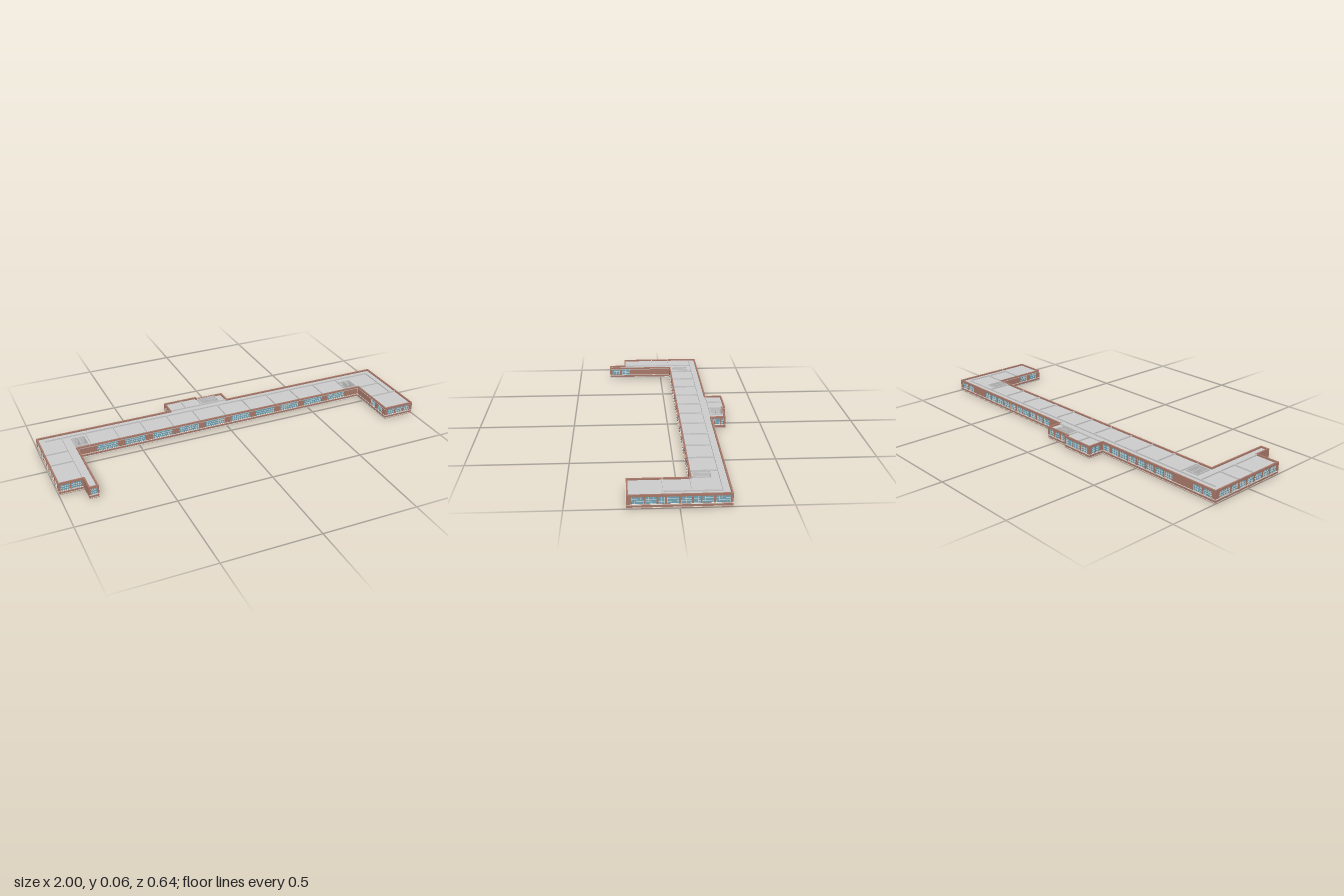
import * as THREE from 'three';
import { mergeGeometries } from 'three/addons/utils/BufferGeometryUtils.js';

const H = 0.065, T = 0.008, ROOF = 0.057, SILL = 0.021, HEAD = 0.054;
const mat = (color) => new THREE.MeshStandardMaterial({ color });
const brick = mat(0xa9796a), grey = mat(0xcccccc), white = mat(0xe4e2dc), glass = mat(0x6fa3b5);

// Plan outline as [x, z]; the inside lies on the right of each edge
const outline = [
  [-1, -0.23], [-0.265, -0.23], [-0.265, -0.32], [-0.075, -0.32], [-0.075, -0.305], [0.075, -0.305],
  [0.075, -0.23], [1, -0.23], [1, 0.23], [0.825, 0.23], [0.825, -0.055], [-0.825, -0.055],
  [-0.825, 0.315], [-0.875, 0.315], [-0.875, 0.225], [-1, 0.225],
];

// Stair wells as [x0, z0, x1, z1]
const wells = [[-0.83, -0.16, -0.765, -0.08], [0.75, -0.15, 0.82, -0.07], [-0.075, -0.296, 0.025, -0.23]];

const run = (start, width, pitch, count) =>
  Array.from({ length: count }, (_, i) => [start + i * pitch, start + i * pitch + width]);

// Window spans along each outline edge, measured from its first corner
const windows = {
  0: [...run(0.02, 0.05, 0.06, 2), ...run(0.26, 0.05, 0.06, 8)],
  1: run(0.02, 0.024, 0.03, 2),
  2: run(0.012, 0.05, 0.058, 3),
  4: run(0.012, 0.035, 0.045, 3),
  5: [[0.012, 0.025], [0.03, 0.055], [0.06, 0.07]],
  6: [...run(0.08, 0.05, 0.06, 10), ...run(0.79, 0.05, 0.06, 2)],
  7: [[0.012, 0.075], [0.085, 0.135], [0.14, 0.17], [0.178, 0.225], [0.235, 0.285], [0.295, 0.322], [0.33, 0.377], [0.387, 0.436]],
  8: [[0.02, 0.055], [0.062, 0.108], [0.115, 0.157]],
  9: run(0.03, 0.045, 0.07, 2),
  10: run(0.09, 0.11, 0.15, 10),
  11: run(0.25, 0.045, 0.06, 2),
  12: [[0.01, 0.04]],
  14: [[0.012, 0.06], [0.067, 0.113]],
  15: [[0.02, 0.065], [0.075, 0.12], [0.13, 0.18], [0.19, 0.235], [0.245, 0.29], [0.3, 0.345], [0.355, 0.43]],
};

const rectPath = (x0, y0, x1, y1) => new THREE.Path([
  new THREE.Vector2(x0, y0), new THREE.Vector2(x0, y1), new THREE.Vector2(x1, y1), new THREE.Vector2(x1, y0)]);

const boxGeo = (x0, x1, y0, y1, z0, z1) =>
  new THREE.BoxGeometry(x1 - x0, y1 - y0, z1 - z0).translate((x0 + x1) / 2, (y0 + y1) / 2, (z0 + z1) / 2);

function add(parent, name, geometry, material) {
  const mesh = new THREE.Mesh(geometry, material);
  mesh.name = name;
  parent.add(mesh);
  return mesh;
}

// One outside wall with window openings, glass, glazing bars and sill
function facade(index) {
  const n = outline.length;
  const a = outline[index], b = outline[(index + 1) % n], c = outline[(index + 2) % n];
  const dx = b[0] - a[0], dz = b[1] - a[1], length = Math.hypot(dx, dz);
  const reflex = dx * (c[1] - b[1]) - dz * (c[0] - b[0]) < 0;
  const end = length + (reflex ? T : 0);
  const spans = windows[index] || [];
  const group = new THREE.Group();
  group.name = 'facade';
  group.position.set(a[0], 0, a[1]);
  group.rotation.y = Math.atan2(-dz, dx);

  const shape = new THREE.Shape([[0, 0], [end, 0], [end, H], [0, H]].map((p) => new THREE.Vector2(...p)));
  spans.forEach(([u, v]) => shape.holes.push(rectPath(u, SILL, v, HEAD)));
  add(group, 'brickWall', new THREE.ExtrudeGeometry(shape, { depth: T, bevelEnabled: false }), brick);
  add(group, 'baseCourse', boxGeo(0, length, 0.003, 0.006, -0.0008, 0.001), white);
  if (!spans.length) return group;

  const panes = [], bars = [];
  spans.forEach(([u, v]) => {
    panes.push(boxGeo(u, v, SILL, HEAD, 0.003, 0.004));
    const columns = Math.max(2, Math.round((v - u) / 0.012));
    for (let i = 0; i <= columns; i++) {
      const x = u + ((v - u) * i) / columns;
      bars.push(boxGeo(x - 0.0005, x + 0.0005, SILL, HEAD, 0.0015, 0.005));
    }
    for (let j = 0; j <= 3; j++) {
      const y = SILL + ((HEAD - SILL) * j) / 3;
      bars.push(boxGeo(u, v, y - 0.0005, y + 0.0005, 0.0015, 0.005));
    }
  });
  add(group, 'windowGlass', mergeGeometries(panes), glass);
  add(group, 'windowBars', mergeGeometries(bars), white);
  add(group, 'windowSill', boxGeo(0, length, 0.0175, 0.0205, -0.0015, 0.001), white);
  return group;
}

// Horizontal slab following the plan, pierced by the stair wells
function slab(parent, name, y0, y1) {
  const shape = new THREE.Shape(outline.map(([x, z]) => {
    return new THREE.Vector2(x, -z);
  }));
  wells.forEach(([x0, z0, x1, z1]) => shape.holes.push(rectPath(x0, -z1, x1, -z0)));
  const geometry = new THREE.ExtrudeGeometry(shape, { depth: y1 - y0, bevelEnabled: false });
  geometry.rotateX(-Math.PI / 2).scale(0.999, 1, 0.998).translate(0, y0, 0);
  add(parent, name, geometry, grey);
}

export function createModel() {
  const model = new THREE.Group();
  model.name = 'building';
  outline.forEach((_, i) => model.add(facade(i)));
  slab(model, 'floorSlab', 0.0002, 0.005);
  slab(model, 'ceilingSlab', ROOF - 0.003, ROOF);

  // Partitions rising just above the ceilings
  const partition = (x0, z0, x1, z1) => {
    const t = 0.002;
    add(model, 'partition', boxGeo(x0 - t, x1 + t, 0.005, H - 0.0005, z0 - t, z1 + t), grey);
  };
  partition(-0.96, -0.19, 0.96, -0.19);
  for (let i = 0; i <= 10; i++) partition(-0.75 + i * 0.15, -0.19, -0.75 + i * 0.15, -0.063);
  partition(-0.875, -0.19, -0.875, 0.22);
  partition(-0.99, 0.05, -0.875, 0.05);
  partition(-0.99, -0.055, -0.875, -0.055);
  partition(0.96, -0.19, 0.96, 0.07);
  partition(0.83, 0.07, 0.99, 0.07);
  partition(0.825, -0.055, 0.96, -0.055);
  partition(-0.26, -0.23, 0.07, -0.23);
  partition(-0.17, -0.31, -0.17, -0.23);
  partition(-0.075, -0.305, -0.075, -0.23);

  // Stair well linings and the wall between the flights
  wells.forEach(([x0, z0, x1, z1]) => {
    const e = 0.003;
    const ring = new THREE.Shape([[x0 - e, -z1 - e], [x1 + e, -z1 - e], [x1 + e, -z0 + e], [x0 - e, -z0 + e]]
      .map((p) => new THREE.Vector2(...p)));
    ring.holes.push(rectPath(x0, -z1, x1, -z0));
    const geometry = new THREE.ExtrudeGeometry(ring, { depth: H - 0.002, bevelEnabled: false });
    add(model, 'stairWell', geometry.rotateX(-Math.PI / 2).translate(0, 0.001, 0), grey);
  });
  partition(-0.798, -0.16, -0.798, -0.105);
  partition(0.785, -0.15, 0.785, -0.095);
  partition(-0.03, -0.265, 0.025, -0.265);
  return model;
}
